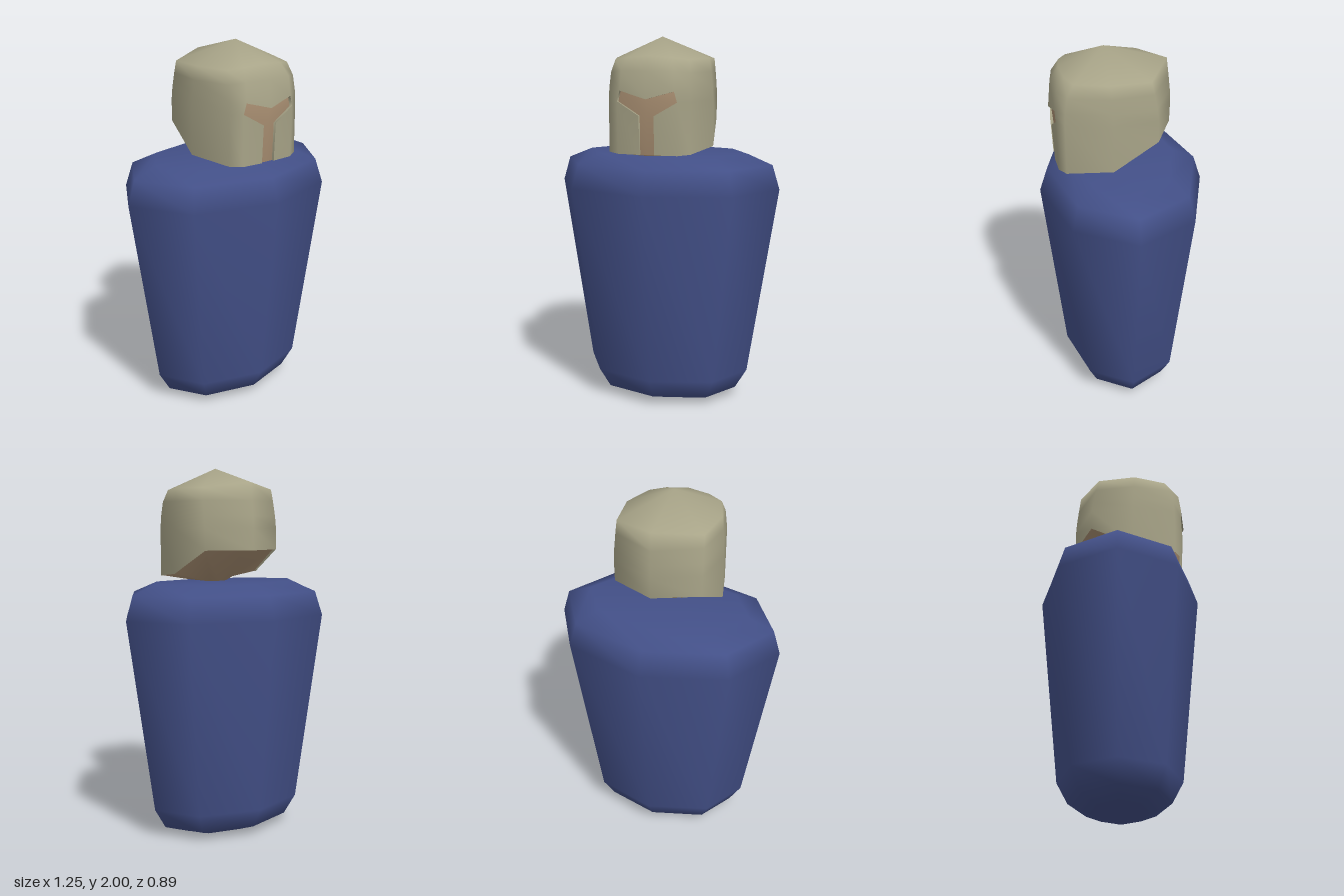
import * as THREE from 'three';
import { mergeVertices } from 'three/addons/utils/BufferGeometryUtils.js';

// Smooth mesh from convex polygons, corners counter-clockwise from outside
function surface(name, polygons, color) {
  const pos = [];
  for (const p of polygons)
    for (let i = 1; i < p.length - 1; i++) pos.push(...p[0], ...p[i], ...p[i + 1]);
  let geo = new THREE.BufferGeometry();
  geo.setAttribute('position', new THREE.Float32BufferAttribute(pos, 3));
  geo = mergeVertices(geo, 1e-4);
  geo.computeVertexNormals();
  const mesh = new THREE.Mesh(geo, new THREE.MeshStandardMaterial({ color, side: THREE.DoubleSide }));
  mesh.name = name;
  return mesh;
}

// Quads between neighbouring columns, each column listed from top to bottom
function skin(columns, skip = () => false) {
  const out = [];
  for (let c = 0; c < columns.length - 1; c++) {
    const a = columns[c], b = columns[c + 1];
    for (let r = 0; r < a.length - 1; r++)
      if (!skip(c, r)) out.push([a[r], a[r + 1], b[r + 1], b[r]]);
  }
  return out;
}

const mirrored = (polys) =>
  polys.concat(polys.map((p) => p.map(([x, y, z]) => [-x, y, z]).reverse()));

// Helmet half, columns from the front round to the back
const apex = [0, 2, 0.09];
const helmetColumns = [
  [apex, [0, 1.905, 0.32], [0, 1.83, 0.365], [0, 1.69, 0.378], [0, 1.62, 0.37], [0, 1.405, 0.36]],
  [apex, [0.12, 1.895, 0.305], [0.14, 1.83, 0.345], [0.145, 1.73, 0.358], [0.16, 1.675, 0.355], [0.16, 1.405, 0.35]],
  [apex, [0.2, 1.885, 0.265], [0.212, 1.82, 0.3], [0.218, 1.74, 0.312], [0.22, 1.675, 0.315], [0.22, 1.41, 0.315]],
  [apex, [0.257, 1.89, 0.09], [0.265, 1.82, 0.087], [0.272, 1.74, 0.083], [0.276, 1.675, 0.08], [0.278, 1.43, 0.08]],
  [apex, [0.23, 1.885, -0.115], [0.233, 1.82, -0.13], [0.236, 1.74, -0.145], [0.237, 1.675, -0.153], [0.235, 1.56, -0.155]],
  [apex, [0, 1.915, -0.235], [0, 1.82, -0.247], [0, 1.74, -0.256], [0, 1.675, -0.26], [0, 1.56, -0.257]],
];

// Lower rim of the head, one point per column
const chin = [
  [0, 1.395, 0.32], [0.06, 1.395, 0.3], [0.1, 1.39, 0.25],
  [0.1, 1.39, 0.15], [0.05, 1.38, 0.07], [0, 1.38, 0.05],
];

export function createModel() {
  const group = new THREE.Group();

  // Body: eight-sided, rows of [y, half width, half depth] from top to bottom
  const rows = [
    [1.385, 0, 0], [1.385, 0.45, 0.28], [1.33, 0.585, 0.4], [1.2, 0.625, 0.443],
    [0.16, 0.465, 0.33], [0.05, 0.4, 0.27], [0, 0.26, 0.15], [0, 0, 0],
  ];
  const bodyColumns = [];
  for (let i = 0; i <= 8; i++) {
    const t = (i / 8) * Math.PI * 2;
    bodyColumns.push(rows.map(([y, w, d]) => [w * Math.sin(t), y, d * Math.cos(t)]));
  }
  group.add(surface('body', skin(bodyColumns), 0x435088));

  // Helmet shell with the visor slot left open, plus the cheek plates
  const slotTop = [0.04, 1.605, 0.368], slotBottom = [0.04, 1.405, 0.358];
  const front = helmetColumns[1];
  const shell = skin(helmetColumns, (c, r) => c === 0 && r >= 3);
  shell.push([slotTop, slotBottom, front[5], front[4]]);
  group.add(surface('helmet', mirrored(shell), 0xa8a488));

  // Thickness of the slot edge
  const edge = [helmetColumns[0][3], front[3], front[4], slotTop, slotBottom];
  const inward = ([x, y, z]) => [x, y, z - 0.02];
  const rim = [];
  for (let i = 0; i < edge.length - 1; i++)
    rim.push([edge[i], inward(edge[i]), inward(edge[i + 1]), edge[i + 1]]);
  group.add(surface('visorRim', mirrored(rim), 0xa8a488));

  // Head inside the helmet, closed underneath
  const headColumns = helmetColumns.map((col, c) => {
    const inner = col.map(([x, y, z]) => [
      x * 0.95, y > 1.6 ? 1.6 + (y - 1.6) * 0.96 : y, 0.08 + (z - 0.08) * 0.95,
    ]);
    if (c === 5) inner[5][1] = 1.64;
    return [...inner, chin[c], [0, 1.375, 0.15]];
  });
  group.add(surface('head', mirrored(skin(headColumns)), 0xa98f72));

  return group;
}
